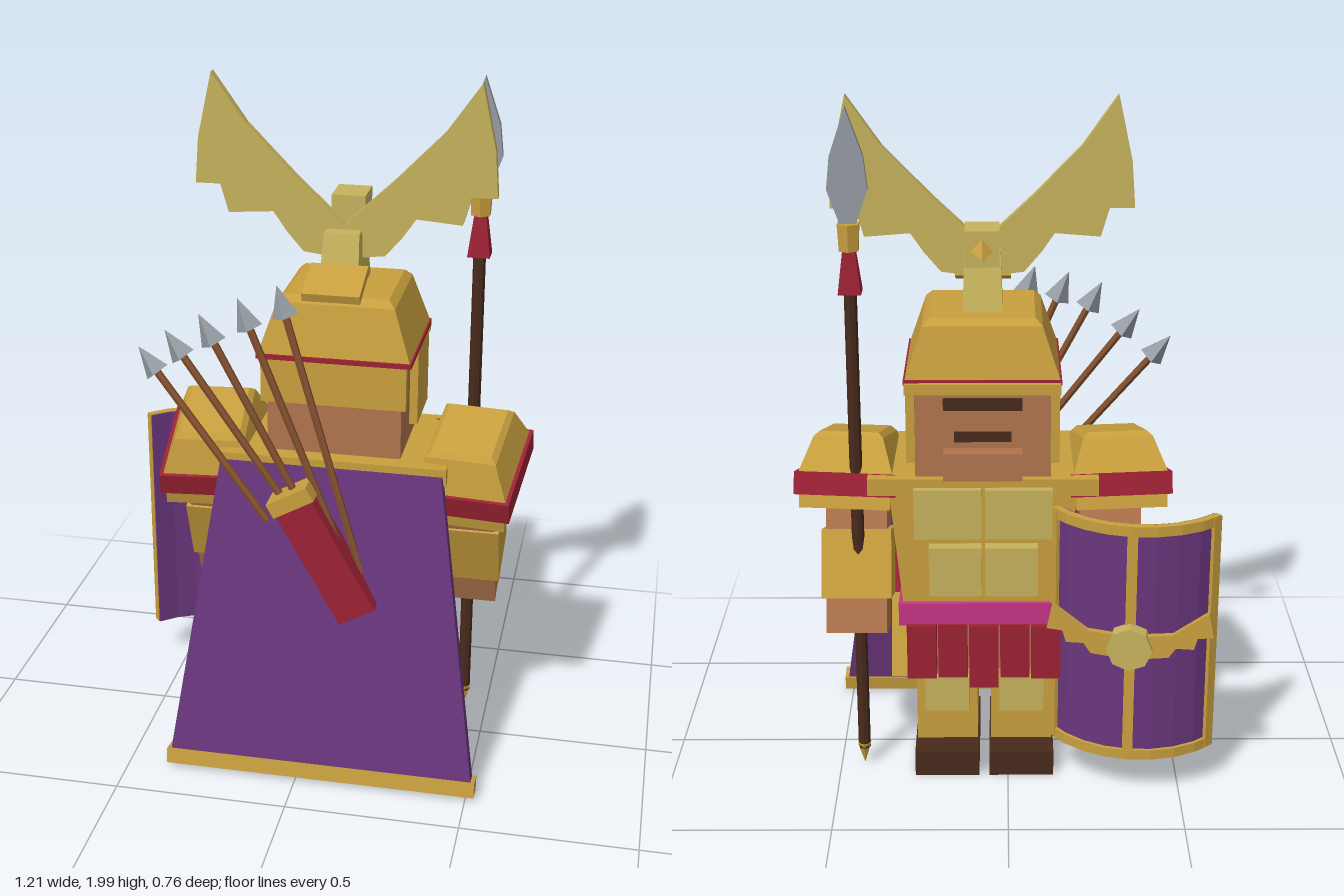
import * as THREE from 'three';

const mat = (name, color) => {
  const m = new THREE.MeshStandardMaterial({ color });
  m.name = name;
  return m;
};

export function createModel() {
  const gold = mat('gold', 0xc89f3e), pale = mat('pale gold', 0xc6b25c), red = mat('red', 0x9c2234);
  const purple = mat('purple', 0x6a367c), skin = mat('skin', 0xb0754e), dark = mat('dark brown', 0x482a1b);
  const wood = mat('wood', 0x83502f), steel = mat('steel', 0x969ca3), pink = mat('pink', 0xc63484);

  const model = new THREE.Group();
  model.name = 'soldier';
  const figure = new THREE.Group();
  figure.name = 'figure';
  figure.position.x = 0.07;
  model.add(figure);

  const add = (parent, name, geo, material, x = 0, y = 0, z = 0) => {
    const m = new THREE.Mesh(geo, material);
    m.name = name;
    m.position.set(x, y, z);
    parent.add(m);
    return m;
  };
  const group = (name, x = 0, y = 0, z = 0) => {
    const g = new THREE.Group();
    g.name = name;
    g.position.set(x, y, z);
    figure.add(g);
    return g;
  };
  const box = (w, h, d) => new THREE.BoxGeometry(w, h, d);
  // Box whose top has its own width and depth
  const taper = (w, d, tw, td, h) => {
    const g = box(w, h, d), p = g.attributes.position;
    for (let i = 0; i < p.count; i++) if (p.getY(i) > 0) {
      p.setX(i, Math.sign(p.getX(i)) * tw / 2);
      p.setZ(i, Math.sign(p.getZ(i)) * td / 2);
    }
    g.computeVertexNormals();
    return g;
  };
  // Cylinder with hard facets
  const prism = (rt, rb, h, n) => {
    const g = new THREE.CylinderGeometry(rt, rb, h, n).toNonIndexed();
    g.computeVertexNormals();
    return g;
  };
  // Flat plate cut from an outline, centred in depth; s mirrors it
  const plate = (pts, depth, s = 1) => {
    const shape = new THREE.Shape(pts.map(([x, y]) => new THREE.Vector2(x * s, y)));
    return new THREE.ExtrudeGeometry(shape, { depth, bevelEnabled: false }).translate(0, 0, -depth / 2);
  };

  // Legs, greaves and shoes
  for (const s of [-1, 1]) {
    add(figure, 'shoe', box(0.19, 0.08, 0.335), dark, s * 0.11, 0.05, -0.04);
    add(figure, 'greave', box(0.18, 0.24, 0.25), gold, s * 0.11, 0.2, 0);
    add(figure, 'thigh', box(0.18, 0.2, 0.24), skin, s * 0.11, 0.42, 0);
    add(figure, 'kneePlate', box(0.13, 0.11, 0.03), pale, s * 0.11, 0.25, -0.135);
  }

  // Torso, chest plates and belt
  add(figure, 'torso', taper(0.46, 0.36, 0.54, 0.37, 0.42), gold, 0, 0.75, 0);
  add(figure, 'collar', box(0.65, 0.05, 0.39), gold, 0, 0.935, -0.01);
  add(figure, 'belt', box(0.49, 0.07, 0.39), pink, 0, 0.535, 0);
  for (const s of [-1, 1]) {
    add(figure, 'chestPlate', box(0.19, 0.15, 0.04), pale, s * 0.1, 0.86, -0.205);
    add(figure, 'bellyPlate', box(0.15, 0.15, 0.04), pale, s * 0.08, 0.68, -0.2);
  }

  // Skirt flaps front and back
  for (const z of [-0.185, 0.165]) {
    for (let i = -2; i <= 2; i++) {
      const h = i === 0 ? 0.2 : 0.17;
      add(figure, 'skirtFlap', box(0.085, h, i % 2 ? 0.035 : 0.05), red, i * 0.09, 0.505 - h / 2, z);
    }
  }

  // Head and face
  add(figure, 'head', box(0.38, 0.29, 0.34), skin, 0, 1.11, -0.025);
  add(figure, 'chin', box(0.22, 0.08, 0.05), skin, 0, 1.01, -0.22);
  add(figure, 'eyeSlit', box(0.22, 0.035, 0.008), dark, 0, 1.18, -0.197);
  add(figure, 'mouth', box(0.16, 0.03, 0.008), dark, 0, 1.085, -0.197);

  // Helmet
  add(figure, 'helmetDome', taper(0.428, 0.375, 0.33, 0.31, 0.145), gold, 0, 1.327, -0.028);
  add(figure, 'helmetTop', taper(0.33, 0.31, 0.29, 0.27, 0.02), gold, 0, 1.41, -0.028);
  add(figure, 'helmetBand', box(0.436, 0.014, 0.385), red, 0, 1.25, -0.028);
  add(figure, 'brow', box(0.43, 0.03, 0.04), gold, 0, 1.235, -0.216);
  add(figure, 'neckGuard', box(0.41, 0.13, 0.025), gold, 0, 1.182, 0.15);
  for (const s of [-1, 1]) add(figure, 'cheekGuard', box(0.025, 0.24, 0.2), gold, s * 0.201, 1.13, -0.105);

  // Bird crest
  const crest = group('crest', 0, 0, -0.01);
  add(crest, 'birdBody', taper(0.11, 0.2, 0.1, 0.11, 0.16), pale, 0, 1.5, 0);
  add(crest, 'birdHead', box(0.095, 0.1, 0.11), pale, 0, 1.61, -0.1);
  const beak = add(crest, 'beak', prism(0, 0.035, 0.07, 4), gold, 0, 1.6, -0.18);
  beak.rotation.x = -Math.PI / 2 - 0.2;
  const tail = add(crest, 'tail', box(0.16, 0.025, 0.14), gold, 0, 1.465, 0.14);
  tail.rotation.x = 0.33;
  const wing = [[0, 1.593], [0.14, 1.725], [0.274, 1.863], [0.37, 2], [0.41, 1.82], [0.42, 1.69], [0.35, 1.69],
    [0.327, 1.61], [0.2, 1.62], [0.163, 1.566], [0.115, 1.51], [0.035, 1.5], [0, 1.52]];
  for (const s of [-1, 1]) add(crest, 'birdWing', plate(wing, 0.028, s), pale);

  // Shoulders and arms, reaching forward
  for (const s of [-1, 1]) {
    const p = group('shoulder', s * 0.375, 0.885, 0);
    p.rotation.set(0.26, -s * 0.1, 0, 'YXZ');
    add(p, 'shoulderBand', box(0.29, 0.065, 0.35), red, 0, 0, 0);
    add(p, 'shoulderRim', box(0.26, 0.04, 0.34), gold, 0, -0.05, 0);
    add(p, 'shoulderPlate', taper(0.27, 0.33, 0.2, 0.25, 0.1), gold, 0, 0.08, 0);
    add(p, 'shoulderTop', taper(0.2, 0.25, 0.17, 0.22, 0.015), gold, 0, 0.137, 0);
    const a = group('arm', s * 0.365, 0.857, 0);
    a.rotation.x = 0.35;
    add(a, 'armSkin', box(0.175, 0.42, 0.18), skin, 0, -0.21, 0);
    add(a, 'bracer', box(0.2, 0.2, 0.195), gold, 0, -0.22, 0);
  }

  // Spear
  const spear = group('spear', 0.36, 0, -0.14);
  add(spear, 'spearShaft', prism(0.018, 0.018, 1.43, 8), dark, 0, 0.785);
  add(spear, 'spearButt', prism(0.022, 0, 0.07, 6), gold, 0, 0.05);
  add(spear, 'spearTassel', prism(0.024, 0.045, 0.12, 4).rotateY(Math.PI / 4), red, 0, 1.545);
  add(spear, 'spearCollar', prism(0.034, 0.03, 0.075, 6), gold, 0, 1.64);
  add(spear, 'spearBlade', plate([[-0.02, 1.67], [0.02, 1.67], [0.055, 1.77], [0.045, 1.86], [0, 1.99],
    [-0.045, 1.86], [-0.055, 1.77]], 0.022), steel);

  // Sheathed short sword at the hip
  const sword = group('sword', 0.25, 0.5, 0);
  sword.rotation.x = 0.36;
  add(sword, 'scabbard', box(0.05, 0.25, 0.065), gold, 0, -0.11, 0);
  add(sword, 'swordGrip', box(0.035, 0.1, 0.045), red, 0, 0.065, 0);
  add(sword, 'swordPommel', box(0.05, 0.03, 0.06), red, 0, 0.12, 0);

  // Cape with a gold hem
  const cape = group('cape', 0, 0.49, 0.263);
  cape.rotation.x = -0.17;
  add(cape, 'capeCloth', taper(0.89, 0.045, 0.63, 0.04, 0.9), purple, 0, 0.005, 0);
  add(cape, 'capeHem', box(0.91, 0.045, 0.058), gold, 0, -0.455, 0);

  // Quiver and fanned arrows on the back
  const quiver = group('quiver', 0.0, 0.72, 0.275);
  quiver.rotation.z = 0.51;
  add(quiver, 'quiverBody', box(0.115, 0.37, 0.075), red, 0, -0.02, 0);
  add(quiver, 'quiverRim', box(0.13, 0.045, 0.085), gold, 0, 0.185, 0);
  const arrows = [
    [-0.48, 1.26, 0.18, -0.10, 0.79, 0.25], [-0.39, 1.33, 0.22, 0, 0.8, 0.27], [-0.28, 1.4, 0.265, 0.06, 0.75, 0.27],
    [-0.18, 1.44, 0.23, 0.14, 0.67, 0.27], [-0.08, 1.47, 0.19, 0.17, 0.65, 0.25]];
  for (const [tx, ty, tz, ex, ey, ez] of arrows) {
    const tip = new THREE.Vector3(tx - 0.07, ty, tz), end = new THREE.Vector3(ex - 0.07, ey, ez);
    const dir = tip.clone().sub(end), len = dir.length();
    const arrow = group('arrow', end.x, end.y, end.z);
    arrow.quaternion.setFromUnitVectors(new THREE.Vector3(0, 1, 0), dir.normalize());
    add(arrow, 'arrowShaft', prism(0.011, 0.011, len - 0.07, 6), wood, 0, (len - 0.07) / 2);
    add(arrow, 'arrowHead', prism(0, 0.038, 0.09, 4), steel, 0, len - 0.045);
  }

  // Curved shield: bent panels sweeping round a vertical axis
  const shield = group('shield', -0.43, 0.505, -0.215);
  shield.rotation.y = -0.14;
  const bent = (r0, r1, a0, a1, y0, y1) => {
    const n = Math.max(1, Math.round((a1 - a0) / 0.23)), outer = [], inner = [];
    for (let i = 0; i <= n; i++) {
      const a = a0 + (a1 - a0) * i / n;
      outer.push([Math.sin(a) * r1, Math.cos(a) * r1 - 0.18]);
      inner.unshift([Math.sin(a) * r0, Math.cos(a) * r0 - 0.18]);
    }
    return plate([...outer, ...inner], y1 - y0).rotateX(-Math.PI / 2).translate(0, (y0 + y1) / 2, 0);
  };
  const A = 0.92;
  add(shield, 'shieldPanel', bent(0.275, 0.292, -A, A, -0.364, 0.364), purple);
  for (const s of [-1, 1]) {
    add(shield, 'shieldRim', bent(0.28, 0.302, -A, A, s * 0.351 - 0.015, s * 0.351 + 0.015), gold);
    add(shield, 'shieldEdge', bent(0.28, 0.302, s * 0.875 - 0.05, s * 0.875 + 0.05, -0.362, 0.362), gold);
  }
  add(shield, 'shieldSpine', bent(0.28, 0.3, -0.05, 0.05, -0.362, 0.362), gold);
  add(shield, 'shieldBoss', prism(0.065, 0.065, 0.045, 8).rotateX(Math.PI / 2), pale, 0, 0.005, -0.135);
  const badge = [[0.03, 0.04], [0.12, 0.05], [0.22, 0.125], [0.235, 0.05], [0.19, 0.045], [0.18, 0.01],
    [0.13, 0.01], [0.11, -0.02], [0.03, -0.03]];
  for (const s of [-1, 1]) add(shield, 'shieldWing', plate(badge, 0.018, s), gold, 0, 0, -0.13);

  return model;
}
